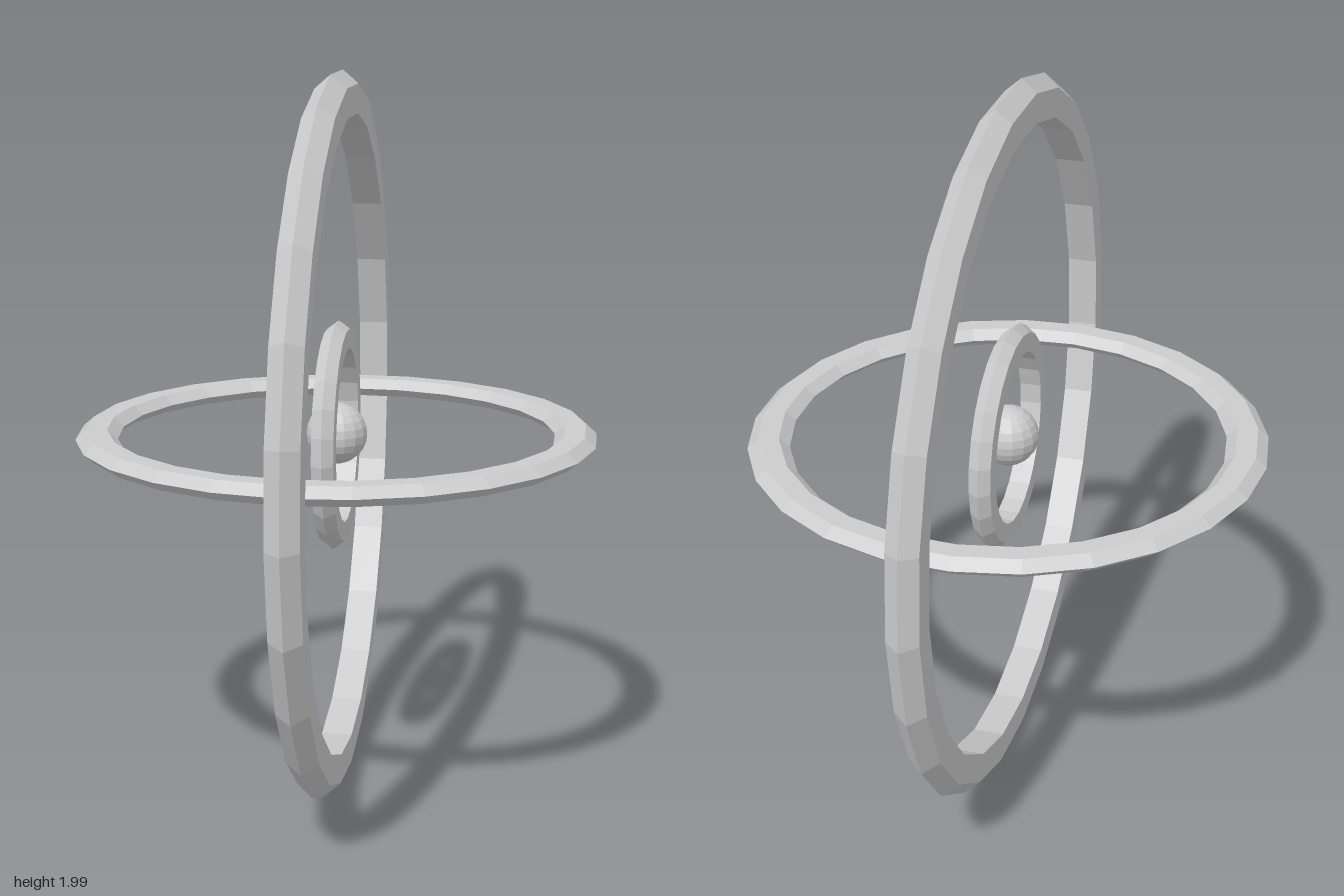
import * as THREE from 'three';

const SIDES = 25;

export function createModel() {
  const model = new THREE.Group();
  const metal = new THREE.MeshStandardMaterial({ color: 0xcccccc, flatShading: true });
  metal.name = 'light grey metal';

  function add(name, geometry) {
    const mesh = new THREE.Mesh(geometry, metal);
    mesh.name = name;
    mesh.position.y = 1;
    model.add(mesh);
    return mesh;
  }

  // Closed ring around y: pointed rim, flat sides, flat or pointed bore
  function ringGeometry(outer, rim, width, half, innerPoint = 0) {
    const shoulder = outer - rim;
    const bore = outer - width;
    const profile = [[outer, 0], [shoulder, half], [bore, half]];
    if (innerPoint) profile.push([bore - innerPoint, 0]);
    profile.push([bore, -half], [shoulder, -half], [outer, 0]);
    return new THREE.LatheGeometry(profile.map(([r, y]) => new THREE.Vector2(r, y)), SIDES);
  }

  // Two upright rings around the x axis, with one corner at the bottom
  const outerRing = add('outerRing', ringGeometry(1, 0.037, 0.117, 0.043));
  const innerRing = add('innerRing', ringGeometry(0.317, 0.022, 0.076, 0.03));
  for (const ring of [outerRing, innerRing]) ring.rotation.set(Math.PI / 2, 0, Math.PI / 2);

  // Level ring between them, with one corner at -x
  const middleRing = add('middleRing', ringGeometry(0.72, 0.03, 0.087, 0.026, 0.029));
  middleRing.rotation.y = -Math.PI / 2;
  middleRing.position.y = 1.005;

  // Ball at the centre
  add('centreBall', new THREE.SphereGeometry(0.085, 16, 12)).position.y = 1.005;

  return model;
}
